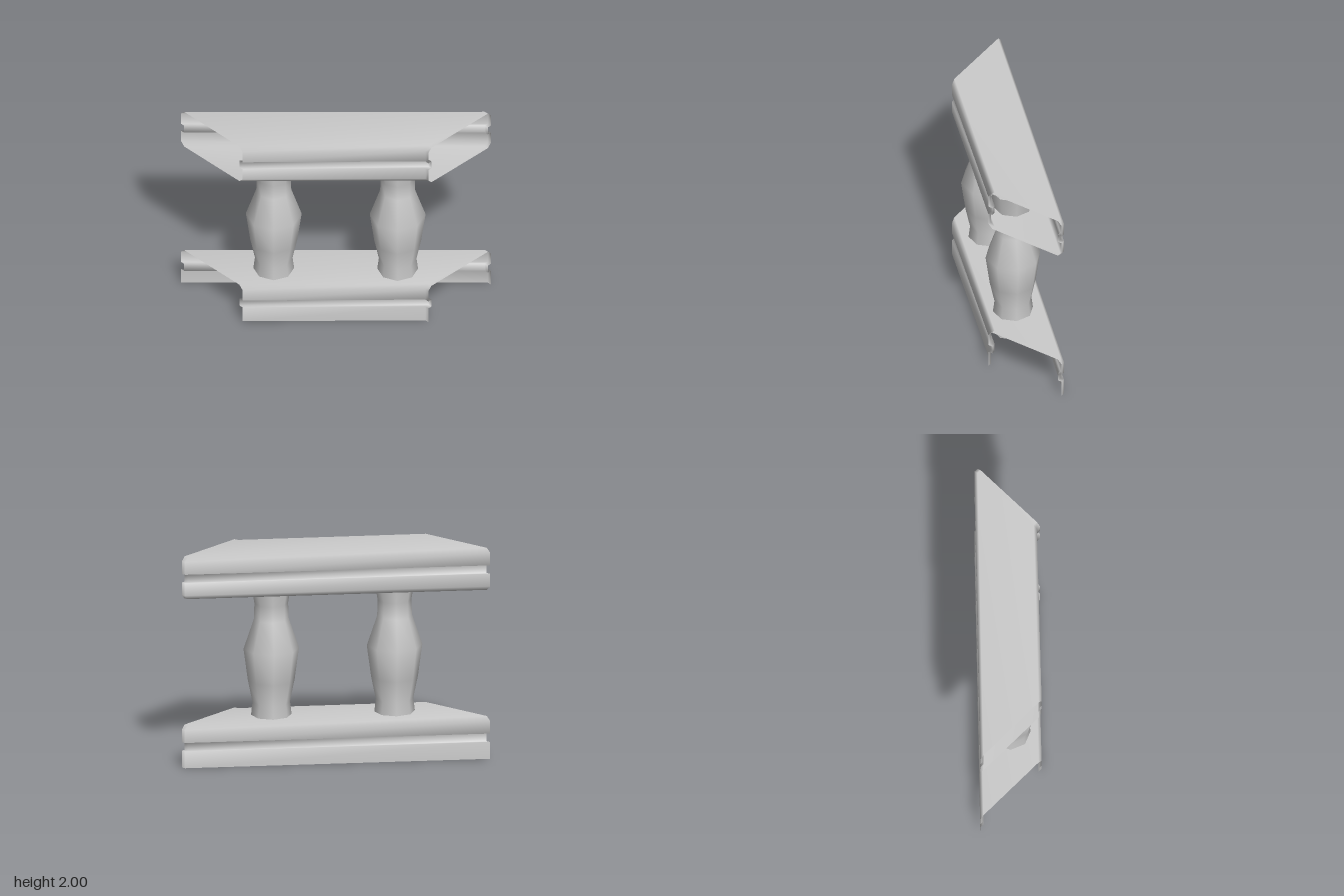
import * as THREE from 'three';

const material = new THREE.MeshStandardMaterial({ color: 0xcccccc, side: THREE.DoubleSide });

// Right half of each rail section: [inset from the outer edge, height]
const topHalf = [[0.04, 1.6], [0, 1.64], [0, 1.76], [0.04, 1.76], [0.04, 1.84], [0, 1.84], [0, 1.96], [0.04, 2]];
const bottomHalf = [[0, 0], [0, 0.16], [0.04, 0.16], [0.04, 0.24], [0, 0.24], [0, 0.36], [0.04, 0.4]];

// Sweeps a mirrored section along the diagonal, with mitred ends on x = -1 and z = 1
function rail(name, half, closed) {
  const mirrored = half.map(([inset, y]) => [0.8 - inset, y]).reverse();
  const section = [...half, ...mirrored];
  if (closed) section.push(section[0]);

  const ends = [
    (d, y) => [-1, y, -1 + d],
    (d, y) => [1 - d, y, 0.96],
    (d, y) => [1 - d, y, 1],
  ];
  const n = closed ? section.length - 1 : section.length;
  const positions = [];
  const index = [];
  ends.forEach((place, row) => {
    for (let i = 0; i < n; i++) positions.push(...place(...section[i]));
    if (row === ends.length - 1) return;
    for (let i = 0; i < section.length - 1; i++) {
      const a = row * n + i;
      const b = row * n + ((i + 1) % n);
      index.push(a, b, a + n, b, b + n, a + n);
    }
  });

  const geometry = new THREE.BufferGeometry();
  geometry.setAttribute('position', new THREE.Float32BufferAttribute(positions, 3));
  geometry.setIndex(index);
  geometry.computeVertexNormals();
  const mesh = new THREE.Mesh(geometry, material);
  mesh.name = name;
  return mesh;
}

export function createModel() {
  const group = new THREE.Group();
  group.name = 'balustrade';

  // Closed handrail and base rail open underneath
  group.add(rail('handrail', topHalf, true));
  group.add(rail('baseRail', bottomHalf, false));

  // Eight-sided turned balusters, running into both rails
  const profile = [
    [0.21, 0.2], [0.172, 0.52], [0.215, 0.73], [0.255, 1.03],
    [0.16, 1.31], [0.155, 1.46], [0.21, 1.8],
  ].map(([r, y]) => new THREE.Vector2(r, y));
  const geometry = new THREE.LatheGeometry(profile, 8);
  [[-0.6, -0.2], [0.2, 0.6]].forEach(([x, z], i) => {
    const baluster = new THREE.Mesh(geometry, material);
    baluster.name = `baluster${i + 1}`;
    baluster.position.set(x, 0, z);
    group.add(baluster);
  });

  return group;
}
